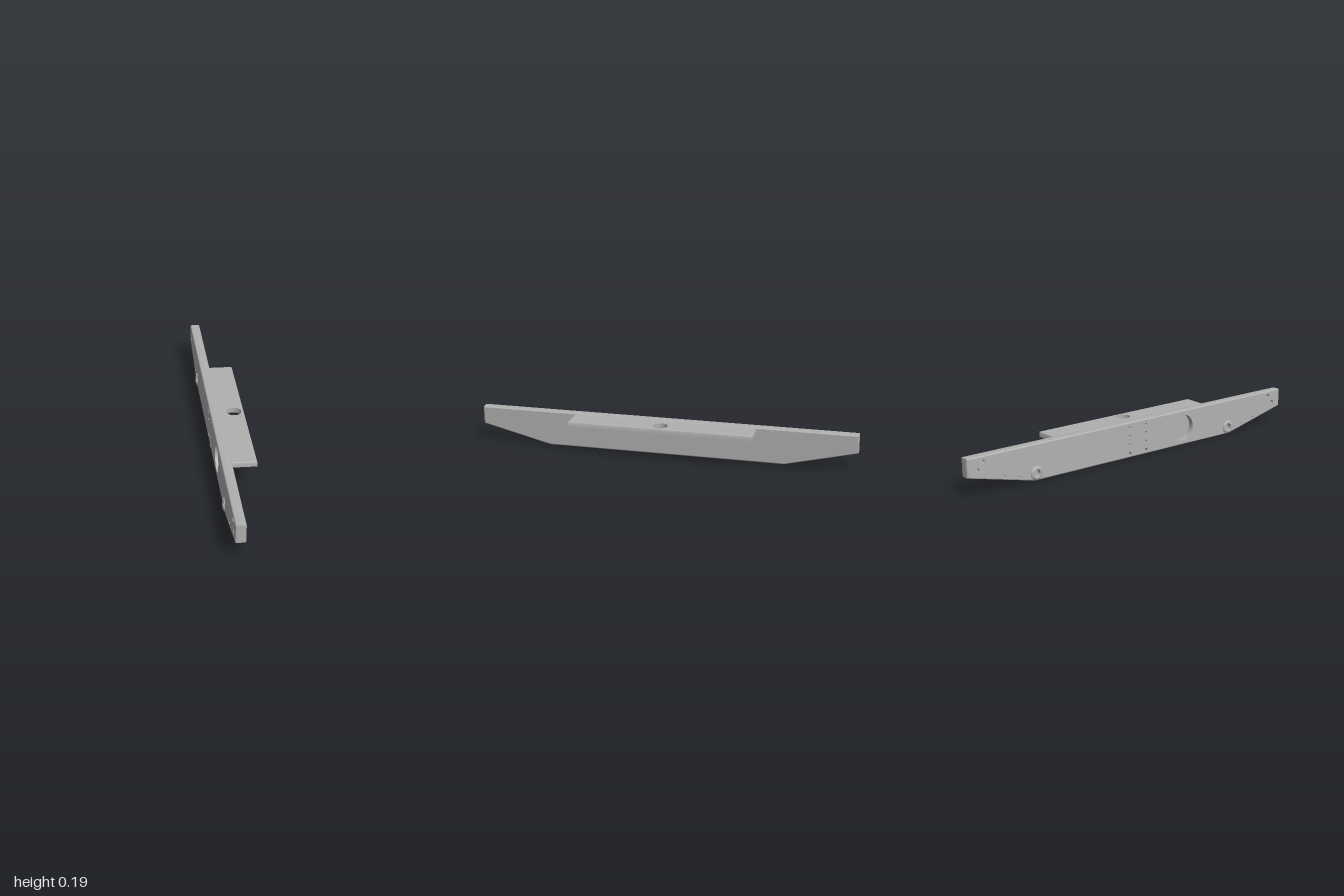
import * as THREE from 'three';
import { mergeGeometries, toCreasedNormals } from 'three/addons/utils/BufferGeometryUtils.js';

const grey = new THREE.MeshStandardMaterial({ color: 0xb0b0b0, side: THREE.DoubleSide });
grey.name = 'grey';

function addMesh(parent, name, geometry) {
  const mesh = new THREE.Mesh(geometry, grey);
  mesh.name = name;
  parent.add(mesh);
  return mesh;
}

// Shape from an outline with round holes [u, v, radius]
function face(points, holes, w) {
  const shape = new THREE.Shape(points.map(([u, v]) => new THREE.Vector2(u, v)));
  for (const [u, v, r] of holes) {
    shape.holes.push(new THREE.Path().absarc(u, v, r, 0, Math.PI * 2, true));
  }
  const g = new THREE.ShapeGeometry(shape, 16).toNonIndexed();
  g.deleteAttribute('uv');
  return g.translate(0, 0, w);
}

// Slab with rounded rim: profile holds [w, inset] from back to front
function slab(outline, profile, frontHoles, backHoles) {
  const pos = [];
  for (let k = 0; k < profile.length - 1; k++) {
    const [w0, i0] = profile[k], [w1, i1] = profile[k + 1];
    const lo = outline(i0), hi = outline(i1), n = lo.length;
    for (let i = 0; i < n; i++) {
      const j = (i + 1) % n;
      const a = [...lo[i], w0], b = [...lo[j], w0], c = [...hi[j], w1], d = [...hi[i], w1];
      pos.push(...a, ...b, ...c, ...a, ...c, ...d);
    }
  }
  const rim = new THREE.BufferGeometry();
  rim.setAttribute('position', new THREE.Float32BufferAttribute(pos, 3));
  rim.computeVertexNormals();
  const [wb, ib] = profile[0], [wf, inf] = profile[profile.length - 1];
  return mergeGeometries([
    toCreasedNormals(rim, 0.6),
    face(outline(ib), backHoles, wb),
    face(outline(inf), frontHoles, wf),
  ]);
}

// Quarter-round edge from a side at w - b to a face at w
function roundEdge(w, b, dir) {
  const out = [];
  for (let i = 0; i <= 4; i++) {
    const t = (i / 4) * Math.PI / 2;
    out.push([w - dir * b * (1 - Math.sin(t)), b * (1 - Math.cos(t))]);
  }
  return dir > 0 ? out : out.reverse();
}

// Open tube for a hole wall, running from w0 to w1
function holeWall(u, v, r, w0, w1) {
  return new THREE.CylinderGeometry(r, r, w1 - w0, 32, 1, true)
    .rotateX(Math.PI / 2).translate(u, v, (w0 + w1) / 2);
}

export function createModel() {
  const model = new THREE.Group();
  model.name = 'bumper';

  // Long plate: local x runs along z, local z points to -x
  const plate = new THREE.Group();
  plate.name = 'plate';
  plate.rotation.y = -Math.PI / 2;
  model.add(plate);
  const outer = 0.087, inner = 0.036, top = 0.187, bottom = 0.002;
  const plateOutline = (i) => [
    [-0.63 + 0.12 * i, bottom + i], [0.63 - 0.12 * i, bottom + i],
    [1 - i, 0.093 + 0.79 * i], [1 - i, top - i],
    [-1 + i, top - i], [-1 + i, 0.093 + 0.79 * i],
  ];

  // Blind holes [z, y, radius, depth]
  const pockets = [[0.3, 0.095, 0.069, 0.03]];
  for (const s of [-1, 1]) {
    pockets.push(
      [s * 0.618, 0.04, 0.018, 0.02],
      [s * 0.915, 0.16, 0.011, 0.02], [s * 0.945, 0.122, 0.011, 0.02],
      [s * 0.8, 0.062, 0.006, 0.015], [s * 0.72, 0.042, 0.006, 0.015],
    );
    [0.02, 0.07, 0.116, 0.16].forEach((y, i) =>
      pockets.push([s * 0.053, y, i ? 0.007 : 0.012, 0.02]));
  }
  addMesh(plate, 'plateBody', slab(plateOutline,
    [...roundEdge(inner, 0.006, -1), ...roundEdge(outer, 0.006, 1)], pockets, []));
  for (const [u, v, r, d] of pockets) {
    addMesh(plate, 'holeWall', holeWall(u, v, r, outer - d, outer));
    addMesh(plate, 'holeFloor', new THREE.CircleGeometry(r, 32).translate(u, v, outer - d));
  }

  // Raised rings around the two lower sockets
  const ring = toCreasedNormals(new THREE.LatheGeometry([
    [0.018, -0.002], [0.018, 0.005], [0.02, 0.007], [0.027, 0.007], [0.032, 0.005], [0.035, 0],
    [0.035, -0.002],
  ].map(([x, y]) => new THREE.Vector2(x, y)), 40), 0.7).rotateX(Math.PI / 2);
  for (const s of [-1, 1]) {
    addMesh(plate, 'socketRing', ring).position.set(s * 0.618, 0.04, outer);
  }

  // Flat shelf with one through hole
  const shelf = new THREE.Group();
  shelf.name = 'shelf';
  shelf.rotation.x = -Math.PI / 2;
  model.add(shelf);
  const shelfOutline = (i) => [
    [-0.045, -0.483 + i], [0.087 - i, -0.483 + i], [0.087 - i, 0.483 - i], [-0.045, 0.483 - i],
  ];
  const hole = [[0.036, 0, 0.038]];
  addMesh(shelf, 'shelfBody', slab(shelfOutline,
    [[0.156, 0], ...roundEdge(0.183, 0.005, 1)], hole, hole));
  addMesh(shelf, 'shelfHoleWall', holeWall(...hole[0], 0.156, 0.183));

  // Slight lean of the whole piece
  model.rotation.set(0.004, 0.0025, -0.02);
  const root = new THREE.Group();
  root.name = 'model';
  root.add(model);
  return root;
}
